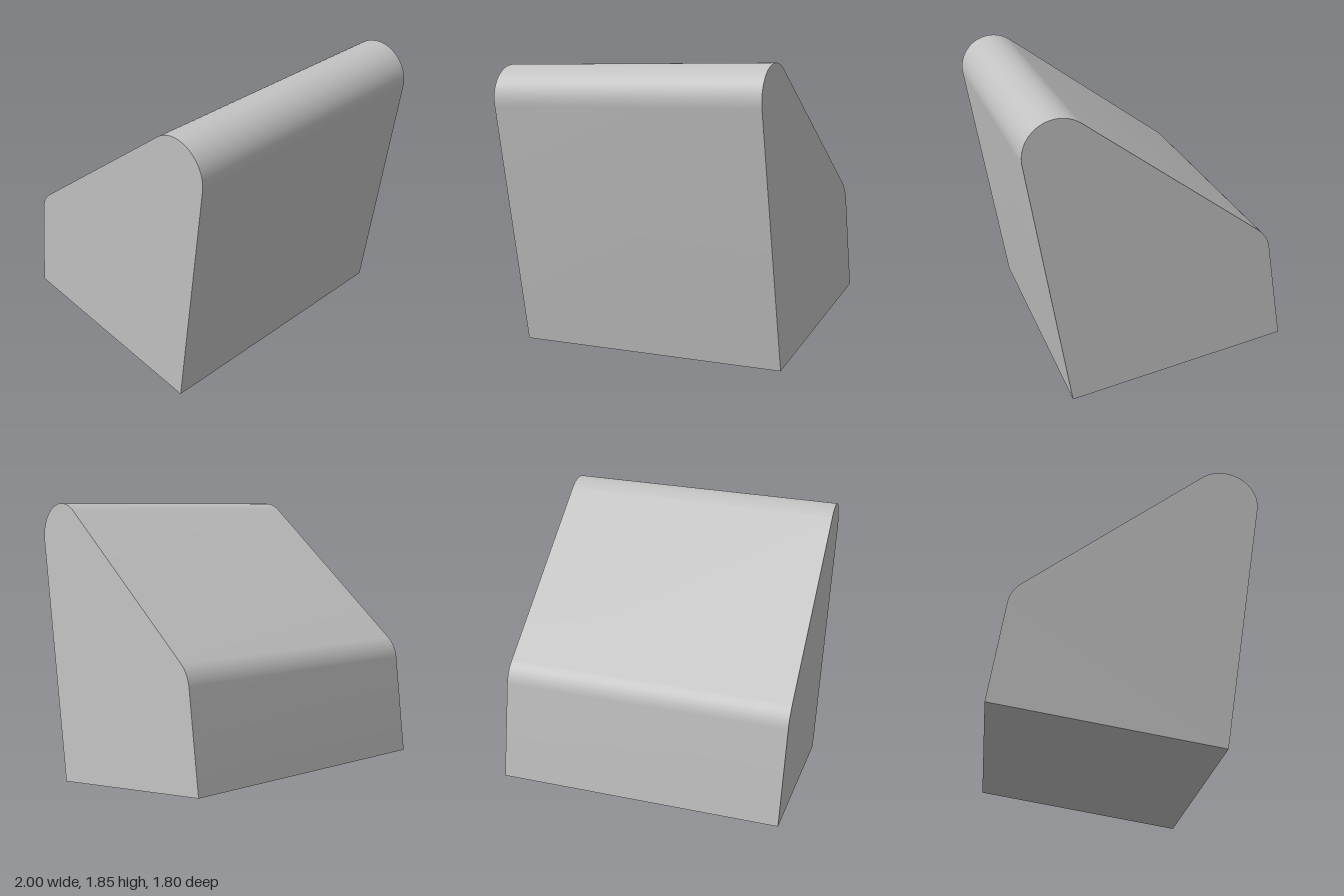
import * as THREE from 'three';
import { toCreasedNormals } from 'three/addons/utils/BufferGeometryUtils.js';

export function createModel() {
  const group = new THREE.Group();
  const lightGrey = new THREE.MeshStandardMaterial({ color: 0xc2c2c2 });

  // Side profile: upright front, rounded crest, sloping top, rounded rear shoulder
  const depth = 1.371, width = 1.784;
  const shoulder = 0.2, crest = 0.214;
  const slopeNormal = THREE.MathUtils.degToRad(44.3);
  const profile = new THREE.Shape();
  profile.moveTo(0, 0);
  profile.lineTo(depth, 0);
  profile.absarc(depth - shoulder, 0.62, shoulder, 0, slopeNormal, false);
  profile.absarc(crest, 1.581, crest, slopeNormal, Math.PI, false);
  profile.closePath();

  const geometry = toCreasedNormals(
    new THREE.ExtrudeGeometry(profile, { depth: width, bevelEnabled: false, curveSegments: 16 }),
    0.5
  );
  const wedge = new THREE.Mesh(geometry, lightGrey);
  wedge.name = 'roundedWedgeBlock';

  // Tilted axes: across the width, towards the rear, and up the front face
  const across = new THREE.Vector3(1.77, 0.045, 0.215).normalize();
  const rear = new THREE.Vector3(0.16, 0.215, -1.345);
  rear.addScaledVector(across, -rear.dot(across)).normalize();
  const up = new THREE.Vector3().crossVectors(across, rear);
  wedge.quaternion.setFromRotationMatrix(new THREE.Matrix4().makeBasis(rear, up, across));
  wedge.position.set(0.84, 0.047, 0.66).addScaledVector(across, -width);

  group.add(wedge);
  return group;
}
